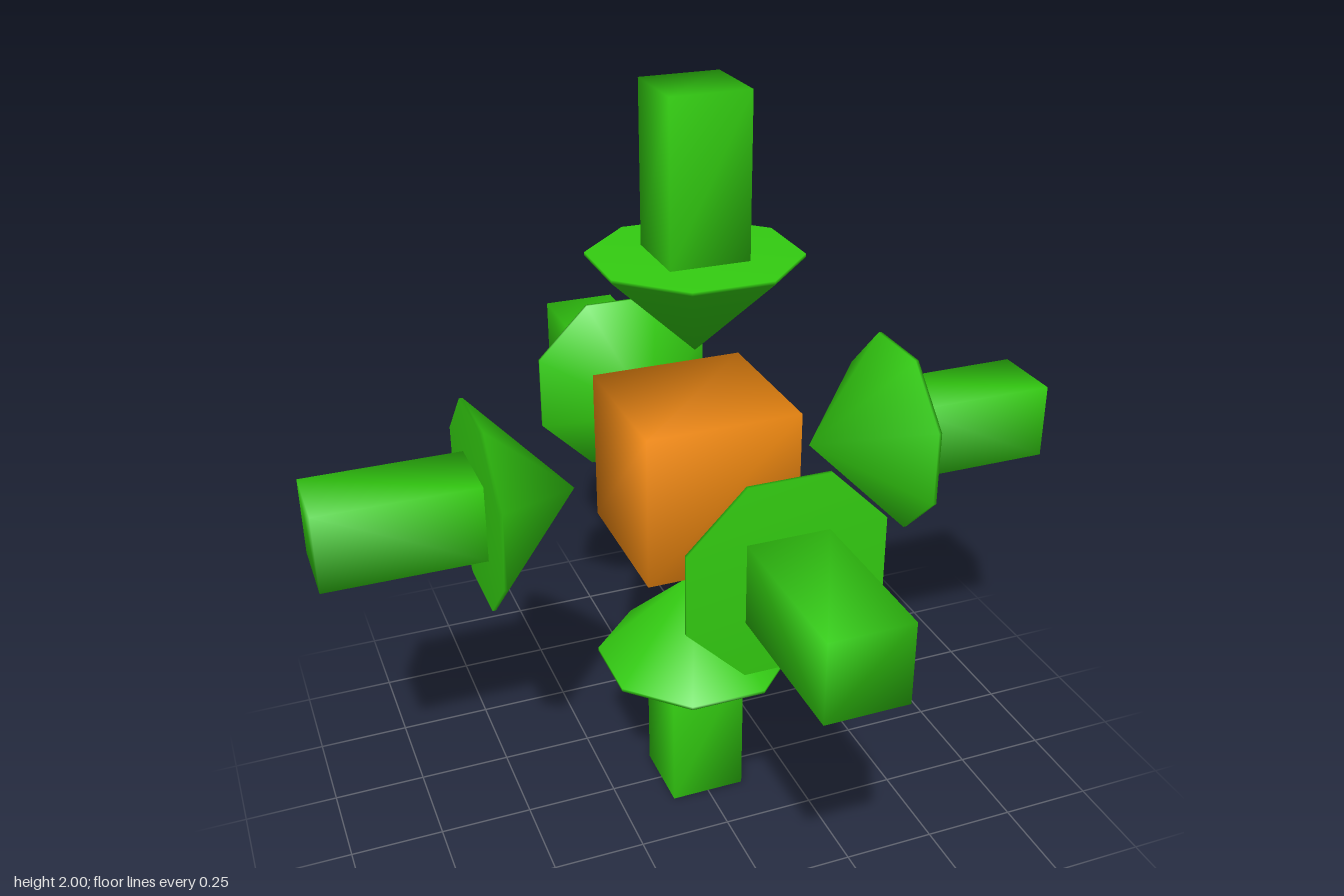
import * as THREE from 'three';
import { mergeVertices } from 'three/addons/utils/BufferGeometryUtils.js';

// Weld corners so normals blend softly across the low-poly faces
function soften(geometry) {
  geometry.deleteAttribute('normal');
  geometry.deleteAttribute('uv');
  const welded = mergeVertices(geometry, 1e-4);
  welded.computeVertexNormals();
  return welded;
}

export function createModel() {
  const model = new THREE.Group();
  model.name = 'inwardArrows';
  const green = new THREE.MeshStandardMaterial({ color: 0x33cc11 });
  const orange = new THREE.MeshStandardMaterial({ color: 0xee8811 });

  // Central cube
  const cube = new THREE.Mesh(soften(new THREE.BoxGeometry(0.414, 0.414, 0.414)), orange);
  cube.name = 'centreCube';
  cube.position.y = 1;
  model.add(cube);

  // Square shaft, outer end 1 unit from the centre
  const shaftGeometry = soften(new THREE.BoxGeometry(0.207, 0.415, 0.207).translate(0, 0.7925, 0));

  // Octagonal head with a thin rim, tip towards the centre, flats facing the axes
  const r = 0.25 / Math.cos(Math.PI / 8);
  const profile = [[0, 0.33], [r, 0.578], [r, 0.587], [0, 0.587]].map(([x, y]) => new THREE.Vector2(x, y));
  const headGeometry = soften(new THREE.LatheGeometry(profile, 8).rotateY(Math.PI / 8));

  // Six arrows, one on each axis direction
  const arrows = [
    ['topArrow', 0, 0],
    ['bottomArrow', Math.PI, 0],
    ['frontArrow', Math.PI / 2, 0],
    ['backArrow', -Math.PI / 2, 0],
    ['leftArrow', 0, -Math.PI / 2],
    ['rightArrow', 0, Math.PI / 2],
  ];
  for (const [name, rx, rz] of arrows) {
    const arrow = new THREE.Group();
    arrow.name = name;
    const shaft = new THREE.Mesh(shaftGeometry, green);
    shaft.name = 'arrowShaft';
    const head = new THREE.Mesh(headGeometry, green);
    head.name = 'arrowHead';
    arrow.add(shaft, head);
    arrow.rotation.set(rx, 0, rz);
    arrow.position.y = 1;
    model.add(arrow);
  }
  return model;
}
